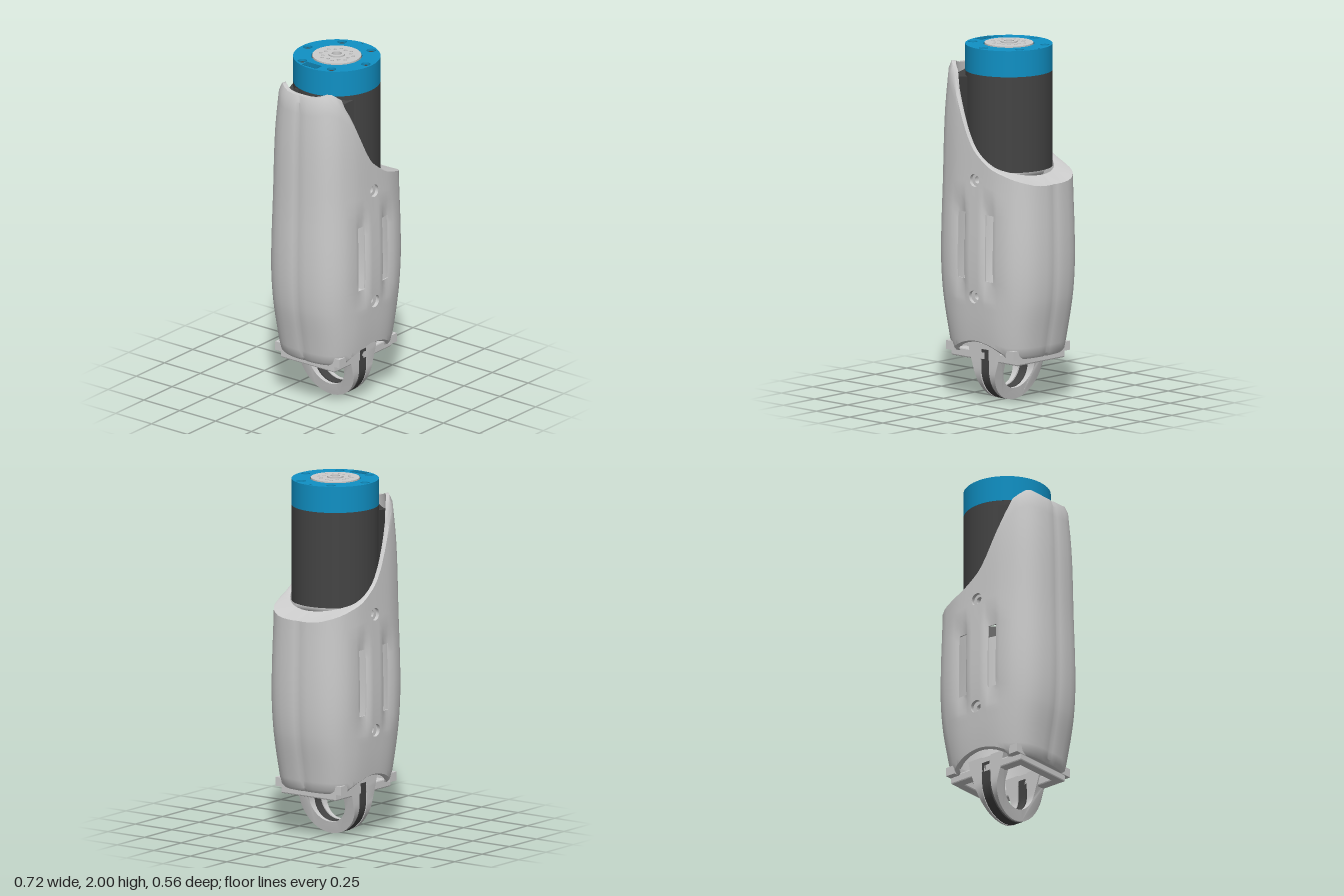
import * as THREE from 'three';
import { toCreasedNormals, mergeGeometries } from 'three/addons/utils/BufferGeometryUtils.js';

const grey = new THREE.MeshStandardMaterial({ color: 0xcccccc });
const dark = new THREE.MeshStandardMaterial({ color: 0x444444 });
const blue = new THREE.MeshStandardMaterial({ color: 0x1090c4 });
const deepBlue = new THREE.MeshStandardMaterial({ color: 0x0d7099 });
const AXIS = 0.007; // motor axis in x
const R = 0.24;

// smooth interpolation through [key, value] pairs
function curve(pts) {
  const slope = (i) => {
    const a = pts[Math.max(i - 1, 0)], b = pts[Math.min(i + 1, pts.length - 1)];
    return (b[1] - a[1]) / (b[0] - a[0]);
  };
  return (k) => {
    if (k <= pts[0][0]) return pts[0][1];
    for (let i = 0; i < pts.length - 1; i++) {
      const [k0, v0] = pts[i], [k1, v1] = pts[i + 1];
      if (k > k1) continue;
      const h = k1 - k0, t = (k - k0) / h, t2 = t * t, t3 = t2 * t;
      return (2 * t3 - 3 * t2 + 1) * v0 + (t3 - 2 * t2 + t) * h * slope(i)
        + (3 * t2 - 2 * t3) * v1 + (t3 - t2) * h * slope(i + 1);
    }
    return pts[pts.length - 1][1];
  };
}

const halfWidth = curve([[0.27, 0.29], [0.4, 0.313], [0.6, 0.348], [0.82, 0.36], [1.2, 0.353], [1.6, 0.345], [1.88, 0.328]]);
const halfDepth = curve([[0.27, 0.243], [0.36, 0.256], [0.5, 0.268], [0.8, 0.28], [1.25, 0.268], [1.6, 0.256], [1.88, 0.228]]);
const topEdge = curve([[-0.35, 1.85], [-0.31, 1.875], [-0.27, 1.855], [-0.22, 1.82], [-0.17, 1.75], [-0.1, 1.595],
  [-0.05, 1.49], [0, 1.42], [0.1, 1.345], [0.2, 1.307], [0.31, 1.268], [0.35, 1.245]]);
const bottomEdge = curve([[-0.25, 0.275], [-0.19, 0.285], [-0.1, 0.33], [0, 0.35], [0.1, 0.33], [0.19, 0.285], [0.25, 0.275]]);
const SCREW_Y = [0.605, 1.255];
const SLOT = { x0: 0.077, x1: 0.132, y0: 0.7, y1: 1.07 };

// Hollow rounded housing: a grid around a superellipse, with cells left out for slots and screw holes
function housingGeometry() {
  const N = 3.2, e = 2 / N;
  const angles = [0, 1, 6, 14, 23, 32, 41, 50, 58].map((d) => d * Math.PI / 180);
  const flat = [0.165, SLOT.x1, 0.105, SLOT.x0, 0.06, 0.03, 0.015];
  const side = (s) => [...angles.map((t) => ({ t, s, side: 1 })), ...flat.map((u) => ({ u: u * s, side: 1 }))];
  const front = [...side(1), { u: 0, side: 1 }, ...side(-1).reverse()];
  const cols = [...front, ...front.slice(1, -1).reverse().map((c) => ({ ...c, side: -1 }))];
  const rows = [0, 0.15, 0.5].map((s) => ({ low: s }));
  for (const y of [0.4, 0.45, 0.5, 0.545, 0.575, 0.59, 0.605, 0.62, 0.635, 0.665, 0.7, 0.76, 0.85, 0.95, 1.02, 1.07,
    1.12, 1.17, 1.225, 1.24, 1.255, 1.27, 1.285, 1.3]) rows.push({ y });
  for (const s of [0.12, 0.25, 0.4, 0.55, 0.7, 0.82, 0.93, 1]) rows.push({ high: s });
  const nc = cols.length, nr = rows.length;

  const point = (c, r, inner) => {
    const xn = c.t === undefined ? c.u : c.s * 0.35 * Math.cos(c.t) ** e;
    const top = topEdge(xn), low = bottomEdge(xn), mid = Math.min(1.3, 1.12 + 0.7 * (top - 1.12));
    let y = r.y;
    if (r.low !== undefined) y = low + (0.4 - low) * r.low;
    else if (r.high !== undefined) y = mid + (top - mid) * r.high;
    else if (y > 1.12) y = 1.12 + (y - 1.12) / 0.18 * (mid - 1.12);
    const rim = r.high === 1 || r.low === 0 ? 0.012 : 0;
    const a = halfWidth(y) - (inner ? 0.04 : rim), b = halfDepth(y) - (inner ? 0.02 : rim);
    let x = c.u, z;
    if (c.t !== undefined) {
      x = c.s * a * Math.cos(c.t) ** e * (c.t === 0 && !inner ? 0.98 : 1); // seam groove
      z = b * Math.sin(c.t) ** e;
    } else {
      // square cut-outs become round screw holes
      for (const cy of SCREW_Y) {
        const dy = y - cy, m = Math.max(Math.abs(x), Math.abs(dy));
        if (Math.abs(m - 0.03) < 1e-4) {
          const l = 0.036 / Math.hypot(x, dy);
          x *= l; y = cy + dy * l;
          break;
        }
      }
      z = b * (1 - Math.abs(x / a) ** N) ** (1 / N);
      // finger-like dents running out of the slot ends
      if (Math.abs(Math.abs(x) - 0.105) < 0.03 && !inner) {
        const d = Math.max(SLOT.y0 - y, y - SLOT.y1, 0);
        z -= 0.014 * Math.max(0, 1 - d / 0.12);
      }
    }
    if (inner && r.high === 1 && x > 0) { // shoulder closes in on the motor
      const l = Math.min(1, 0.247 / Math.hypot(x - AXIS, z));
      x = AXIS + (x - AXIS) * l; z *= l;
      y = Math.max(y, topEdge(x) - 0.005);
    }
    return [x, y, z * c.side];
  };

  const pos = [], idx = [];
  for (const inner of [false, true]) for (const r of rows) for (const c of cols) pos.push(...point(c, r, inner));
  const id = (i, j, k) => k * nc * nr + j * nc + (i + nc) % nc;
  const solid = (i, j) => {
    if (j < 0 || j >= nr - 1) return false;
    const c = cols[(i + nc) % nc], d = cols[(i + 1 + nc) % nc];
    if (c.u === undefined || d.u === undefined || rows[j].y === undefined || rows[j + 1].y === undefined) return true;
    const x = Math.abs(c.u + d.u) / 2, y = (rows[j].y + rows[j + 1].y) / 2;
    if (x > SLOT.x0 && x < SLOT.x1 && y > SLOT.y0 && y < SLOT.y1) return false;
    return !SCREW_Y.some((cy) => x < 0.03 && Math.abs(y - cy) < 0.03);
  };
  const quad = (a, b, c, d) => idx.push(a, b, c, a, c, d);
  for (let j = 0; j < nr - 1; j++) for (let i = 0; i < nc; i++) {
    if (!solid(i, j)) continue;
    const ring = [[i, j], [i, j + 1], [i + 1, j + 1], [i + 1, j]];
    quad(...ring.map(([p, q]) => id(p, q, 0)));
    quad(...ring.map(([p, q]) => id(p, q, 1)).reverse());
    // walls through the thickness wherever the neighbour is missing
    [[i - 1, j], [i, j + 1], [i + 1, j], [i, j - 1]].forEach(([p, q], k) => {
      if (solid(p, q)) return;
      const A = ring[k], B = ring[(k + 1) % 4];
      quad(id(...B, 0), id(...A, 0), id(...A, 1), id(...B, 1));
    });
  }
  const g = new THREE.BufferGeometry();
  g.setAttribute('position', new THREE.Float32BufferAttribute(pos, 3));
  g.setIndex(idx);
  return toCreasedNormals(g, 0.7);
}

// flat plate lying in x/z, from y0 up to y1
function plate(shape, y0, y1, bevel = 0) {
  const g = new THREE.ExtrudeGeometry(shape, { depth: y1 - y0 - bevel, bevelEnabled: bevel > 0, bevelSize: bevel,
    bevelThickness: bevel, bevelOffset: -bevel, bevelSegments: 2, curveSegments: 40 });
  return g.rotateX(-Math.PI / 2).translate(0, y0, 0);
}
const poly = (pts) => new THREE.Shape(pts.map(([x, y]) => new THREE.Vector2(x, y)));
const rect = (x, y) => poly([[-x, -y], [x, -y], [x, y], [-x, y]]);
const circle = (x, y, r, n = 48) => poly(Array.from({ length: n }, (_, i) => {
  const t = i / n * Math.PI * 2;
  return [x + r * Math.cos(t), y + r * Math.sin(t)];
}));

// U-shaped loop in the z/y plane; outer(y) gives the outer face, x0 the inner face
function loopGeometry(x0, outer, top) {
  const ys = [0.19, 0.23, 0.27, 0.3, top], pts = [];
  const arc = (r, t) => [r * Math.cos(t), 0.19 + r * Math.sin(t)];
  for (const y of [...ys].reverse()) pts.push([-0.187, y]);
  for (let i = 1; i < 28; i++) pts.push(arc(0.187, Math.PI * (1 + i / 28)));
  for (const y of ys) pts.push([0.187, y]);
  for (const y of [...ys].reverse()) pts.push([0.122, y]);
  for (let i = 1; i < 28; i++) pts.push(arc(0.122, -Math.PI * i / 28));
  for (const y of ys) pts.push([-0.122, y]);
  const g = new THREE.ExtrudeGeometry(poly(pts), { depth: 1, bevelEnabled: false }).rotateY(Math.PI / 2);
  const p = g.attributes.position;
  for (let i = 0; i < p.count; i++) p.setX(i, p.getX(i) > 0.5 ? outer(p.getY(i)) : x0);
  return toCreasedNormals(g, 0.6);
}

export function createModel() {
  const model = new THREE.Group();
  const add = (name, geo, mat, x = 0, y = 0, z = 0) => {
    const m = new THREE.Mesh(geo, mat);
    m.name = name;
    m.position.set(x, y, z);
    model.add(m);
    return m;
  };

  add('housing', housingGeometry(), grey);

  // hollow bosses behind the screw holes
  for (const y of SCREW_Y) {
    const b = 0.244;
    const profile = [[0.02, -b], [0.045, -b], [0.045, b], [0.02, b], [0.02, -b]].map(([r, h]) => new THREE.Vector2(r, h));
    add('screwBoss', toCreasedNormals(new THREE.LatheGeometry(profile, 24).rotateX(Math.PI / 2), 0.6), grey, 0, y, 0);
  }

  // motor body and its side casing with cable notch
  add('motorBody', new THREE.CylinderGeometry(R - 0.001, R - 0.001, 0.54, 64), dark, AXIS, 1.575, 0);
  const casing = plate(poly([[0, -0.238], [-0.28, -0.165], [-0.28, -0.115], [-0.215, -0.115],
    [-0.215, 0.115], [-0.28, 0.115], [-0.28, 0.165], [0, 0.238]].reverse()), 1.305, 1.83);
  const cp = casing.attributes.position;
  for (let i = 0; i < cp.count; i++) if (cp.getY(i) > 1.7 && cp.getX(i) < -0.25) cp.setY(i, 1.785);
  casing.computeVertexNormals();
  add('motorCasing', casing, dark);

  // blue end cap: solid base and a top ring with counterbored screw holes
  const boltAt = (i) => [0.203 * Math.sin(i * Math.PI / 3), 0.203 * Math.cos(i * Math.PI / 3)];
  add('capBase', new THREE.CylinderGeometry(R, R, 0.13, 64), blue, AXIS, 1.905, 0);
  const ring = circle(0, 0, R, 64);
  ring.holes.push(circle(0, 0, 0.14));
  for (let i = 0; i < 6; i++) ring.holes.push(circle(...boltAt(i), 0.026, 20));
  add('capTop', toCreasedNormals(plate(ring, 1.97, 1.986), 0.5), blue, AXIS, 0, 0);
  for (let i = 0; i < 6; i++) {
    const [x, z] = boltAt(i);
    add('capScrew', new THREE.CylinderGeometry(0.025, 0.025, 0.006, 20), deepBlue, AXIS + x, 1.972, z);
    add('capScrewSocket', new THREE.CylinderGeometry(0.014, 0.014, 0.006, 6), dark, AXIS + x, 1.974, z);
  }
  add('capLabel', new THREE.BoxGeometry(0.048, 0.004, 0.1), deepBlue, -0.193, 1.986, -0.018);
  add('capMark', new THREE.CylinderGeometry(0.006, 0.006, 0.004, 12), deepBlue, 0.234, 1.986, 0);

  // output flange with two rings of small holes, and its hub
  const flange = circle(0, 0, 0.135, 32);
  for (let i = 0; i < 8; i++) {
    for (const [r, t] of [[0.078, i * Math.PI / 4], [0.092, (i + 0.5) * Math.PI / 4]])
      flange.holes.push(circle(r * Math.cos(t), r * Math.sin(t), 0.0105, 6));
  }
  flange.holes.push(circle(0, 0, 0.028, 16));
  add('flangeBed', new THREE.CylinderGeometry(0.139, 0.139, 0.003, 40), dark, AXIS, 1.972, 0);
  add('outputFlange', toCreasedNormals(plate(flange, 1.973, 1.992), 0.5), grey, AXIS, 0, 0);
  const hub = circle(0, 0, 0.046, 24);
  hub.holes.push(circle(0, 0, 0.028, 16));
  add('outputHub', toCreasedNormals(plate(hub, 1.985, 2), 0.5), grey, AXIS, 0, 0);

  // bottom frame carrying the loop
  const frame = rect(0.25, 0.187);
  frame.holes.push(rect(0.2, 0.13));
  add('bottomFrame', plate(frame, 0.245, 0.29, 0.008), grey);
  for (const s of [-1, 1]) add('frameRib', new THREE.BoxGeometry(0.06, 0.05, 0.45), grey, s * 0.225, 0.3, 0);

  // twin loop plates flaring upwards, with a dark ring between them
  const flare = curve([[0, 0.042], [0.1, 0.062], [0.2, 0.088], [0.27, 0.112], [0.34, 0.128]]);
  const left = loopGeometry(0.033, flare, 0.335);
  const right = left.clone().rotateY(Math.PI);
  add('loopPlates', mergeGeometries([left, right]), grey);
  add('loopCore', loopGeometry(-0.024, () => 0.028, 0.27), dark);
  for (const s of [-1, 1]) add('loopBridge', new THREE.BoxGeometry(0.1, 0.06, 0.064), grey, 0, 0.3, s * 0.154);
  return model;
}
